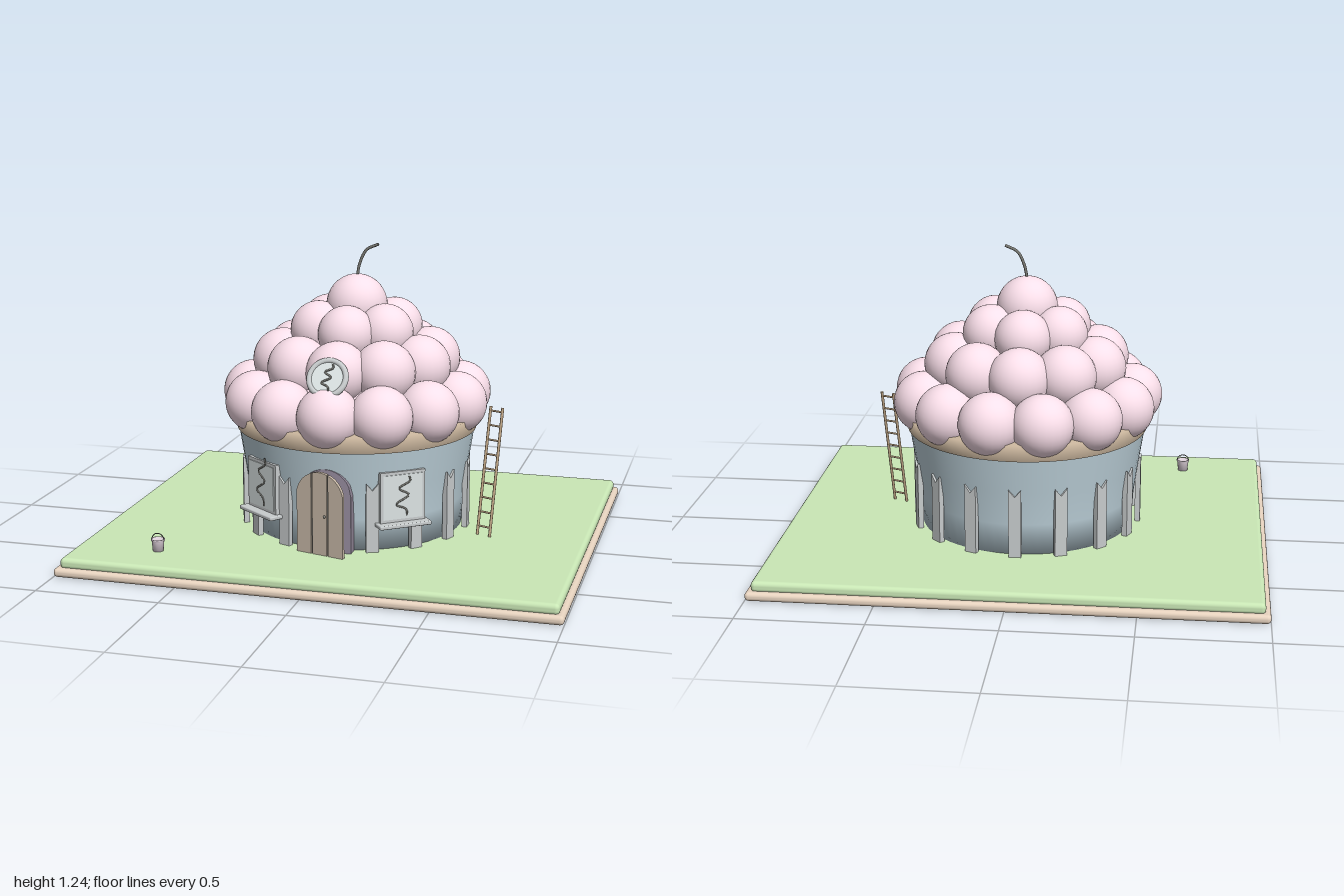
import * as THREE from 'three';
import { RoundedBoxGeometry } from 'three/addons/geometries/RoundedBoxGeometry.js';

const mat = (color) => new THREE.MeshStandardMaterial({ color, side: THREE.DoubleSide });
const PINK = mat(0xfbe0eb), WALL = mat(0xbdd1da), GRASS = mat(0xcae8b6), TAN = mat(0xe8d4c0),
  BAND = mat(0xc6b29a), DOOR = mat(0xc6b7a6), POST = mat(0xc8cccd), WOOD = mat(0xc2a888),
  PANE = mat(0xdce4e4), DARK = mat(0x7a7a74), PURPLE = mat(0x958a9c), PAIL = mat(0xdccfd8);
const V = (x, y, z) => new THREE.Vector3(x, y, z);

function add(parent, name, geometry, material, x = 0, y = 0, z = 0) {
  const m = new THREE.Mesh(geometry, material);
  m.name = name;
  m.position.set(x, y, z);
  parent.add(m);
  return m;
}

function group(parent, name) {
  const g = new THREE.Group();
  g.name = name;
  parent.add(g);
  return g;
}

const lathe = (pts, seg = 64) =>
  new THREE.LatheGeometry(pts.map(([r, y]) => new THREE.Vector2(r, y)), seg);

const slab = (pts, depth) => new THREE.ExtrudeGeometry(
  new THREE.Shape(pts.map(([x, y]) => new THREE.Vector2(x, y))), { depth, bevelEnabled: false });

// Straight round bar between two points
function bar(parent, name, a, b, r, material) {
  const m = add(parent, name, new THREE.CylinderGeometry(r, r, a.distanceTo(b), 8), material);
  m.position.copy(a).lerp(b, 0.5);
  m.quaternion.setFromUnitVectors(V(0, 1, 0), b.clone().sub(a).normalize());
}

// Strip from x0 to x1 of an arched slab that is w wide and h high
function arch(x0, x1, w, h, depth) {
  const r = w / 2, pts = [[x0, 0], [x1, 0]];
  for (let i = 0; i <= 24; i++) {
    const x = x1 + (x0 - x1) * i / 24;
    pts.push([x, h - r + Math.sqrt(Math.max(0, r * r - (x - r) ** 2))]);
  }
  return slab(pts, depth);
}

// Wavy crack lying on a pane
function crack(parent, w, h, y, z) {
  const pts = [[0.4, 0.5], [0.5, 0.38], [-0.3, 0.2], [0.4, 0.02], [-0.5, -0.2], [0.2, -0.34], [0.3, -0.5]]
    .map(([px, py]) => V(px * w, y + py * h, z));
  add(parent, 'crack', new THREE.TubeGeometry(new THREE.CatmullRomCurve3(pts), 30, 0.004, 6), DARK);
}

export function createModel() {
  const model = new THREE.Group();
  model.name = 'cupcakeHouse';

  // Ground
  add(model, 'basePlate', new RoundedBoxGeometry(2, 0.036, 1.696, 3, 0.016), TAN, 0, 0.018, 0);
  add(model, 'lawn', new RoundedBoxGeometry(1.96, 0.045, 1.654, 3, 0.018), GRASS, 0, 0.0505, 0);

  // Flared wall and the band under the icing
  add(model, 'wall', lathe([[0, 0.07], [0.438, 0.07], [0.446, 0.2], [0.466, 0.34], [0.488, 0.48], [0.497, 0.55]]), WALL);
  add(model, 'band', lathe([[0.485, 0.48], [0.495, 0.48], [0.507, 0.55], [0.3, 0.57]]), BAND);

  // Icing balls in rings: count, ring radius, height, ball radius
  const icing = group(model, 'icing');
  for (const [n, ring, y, r] of [[13, 0.432, 0.607, 0.126], [10, 0.3, 0.757, 0.126], [6, 0.16, 0.885, 0.116], [1, 0, 0.98, 0.125]]) {
    const ball = new THREE.SphereGeometry(r, 28, 18);
    for (let i = 0; i < n; i++) {
      const a = i / n * Math.PI * 2;
      add(icing, 'icingBall', ball, PINK, Math.sin(a) * ring, y, Math.cos(a) * ring);
    }
  }
  add(icing, 'icingCore', lathe([[0.42, 0.56], [0.33, 0.72], [0.18, 0.87], [0, 0.98]], 32), PINK);

  // Bent stem
  const stem = new THREE.CatmullRomCurve3([V(0, 1.09, 0), V(0.012, 1.15, 0), V(0.04, 1.205, 0), V(0.09, 1.23, 0)]);
  add(model, 'stem', new THREE.TubeGeometry(stem, 20, 0.006, 8), DARK);

  // Upright posts with notched tops around the wall, short ones under the windows
  const posts = group(model, 'posts');
  for (let i = 1; i < 16; i++) {
    const a = i * Math.PI / 8, h = i === 2 || i === 14 ? 0.14 : 0.285;
    const m = add(posts, 'post', slab([[-0.025, 0], [0.025, 0], [0.025, h], [0, h - 0.03], [-0.025, h]], 0.022),
      POST, Math.sin(a) * 0.453, 0.07, Math.cos(a) * 0.453);
    m.rotation.y = a;
  }

  // Windows with sills
  for (const side of [-1, 1]) {
    const w = group(model, side > 0 ? 'leftWindow' : 'rightWindow');
    w.rotation.y = side * 37 * Math.PI / 180;
    add(w, 'windowFrame', new THREE.BoxGeometry(0.19, 0.205, 0.034), POST, 0, 0.297, 0.466);
    add(w, 'windowPane', new THREE.BoxGeometry(0.166, 0.18, 0.004), PANE, 0, 0.297, 0.484);
    add(w, 'windowSill', new RoundedBoxGeometry(0.22, 0.016, 0.08, 2, 0.005), POST, 0, 0.187, 0.48);
    crack(w, 0.06, side > 0 ? 0.16 : 0.2, side > 0 ? 0.3 : 0.315, 0.486);
  }

  // Doorway and planked door standing ajar
  add(model, 'doorway', arch(0, 0.21, 0.21, 0.34, 0.05), PURPLE, -0.105, 0.07, 0.43);
  const door = group(model, 'door');
  door.position.set(-0.11, 0.074, 0.482);
  door.rotation.y = -0.27;
  const W = 0.215;
  for (let i = 0; i < 3; i++) {
    add(door, 'doorPlank', arch(i * W / 3 + 0.003, (i + 1) * W / 3 - 0.003, W, 0.335, 0.014), DOOR);
  }
  add(door, 'doorBacking', arch(0.004, W - 0.004, W, 0.333, 0.004), DARK, 0, 0, 0.005);
  add(door, 'doorKnob', new THREE.SphereGeometry(0.006, 12, 8), DARK, W * 0.61, 0.16, 0.016);

  // Round window tilted back on the icing
  const round = group(model, 'roundWindow');
  round.position.set(0, 0.766, 0.438);
  round.rotation.x = -0.56;
  add(round, 'roundFrame', new THREE.TorusGeometry(0.073, 0.012, 10, 40), POST);
  const pane = add(round, 'roundPane', new THREE.CylinderGeometry(0.073, 0.073, 0.012, 40), PANE);
  pane.rotation.x = Math.PI / 2;
  crack(round, 0.04, 0.11, 0, 0.008);

  // Leaning ladder
  const ladder = group(model, 'ladder');
  const foot = [V(0.535, 0.073, 0.105), V(0.59, 0.073, 0.128)];
  const head = [V(0.563, 0.588, 0.003), V(0.615, 0.588, 0.022)];
  for (const i of [0, 1]) bar(ladder, 'ladderRail', foot[i], head[i], 0.006, WOOD);
  for (let i = 0; i < 9; i++) {
    const t = 0.07 + i * 0.112;
    bar(ladder, 'ladderRung', foot[0].clone().lerp(head[0], t), foot[1].clone().lerp(head[1], t), 0.004, WOOD);
  }

  // Bucket on the lawn
  const bucket = group(model, 'bucket');
  bucket.position.set(-0.642, 0.072, 0.635);
  add(bucket, 'bucketBody', lathe([[0, 0], [0.021, 0], [0.025, 0.042], [0.028, 0.044], [0.028, 0.05], [0.024, 0.05], [0.023, 0.042], [0, 0.042]], 24), PAIL);
  add(bucket, 'bucketHandle', new THREE.TorusGeometry(0.025, 0.002, 6, 20, Math.PI), DARK, 0, 0.047, 0);

  return model;
}
